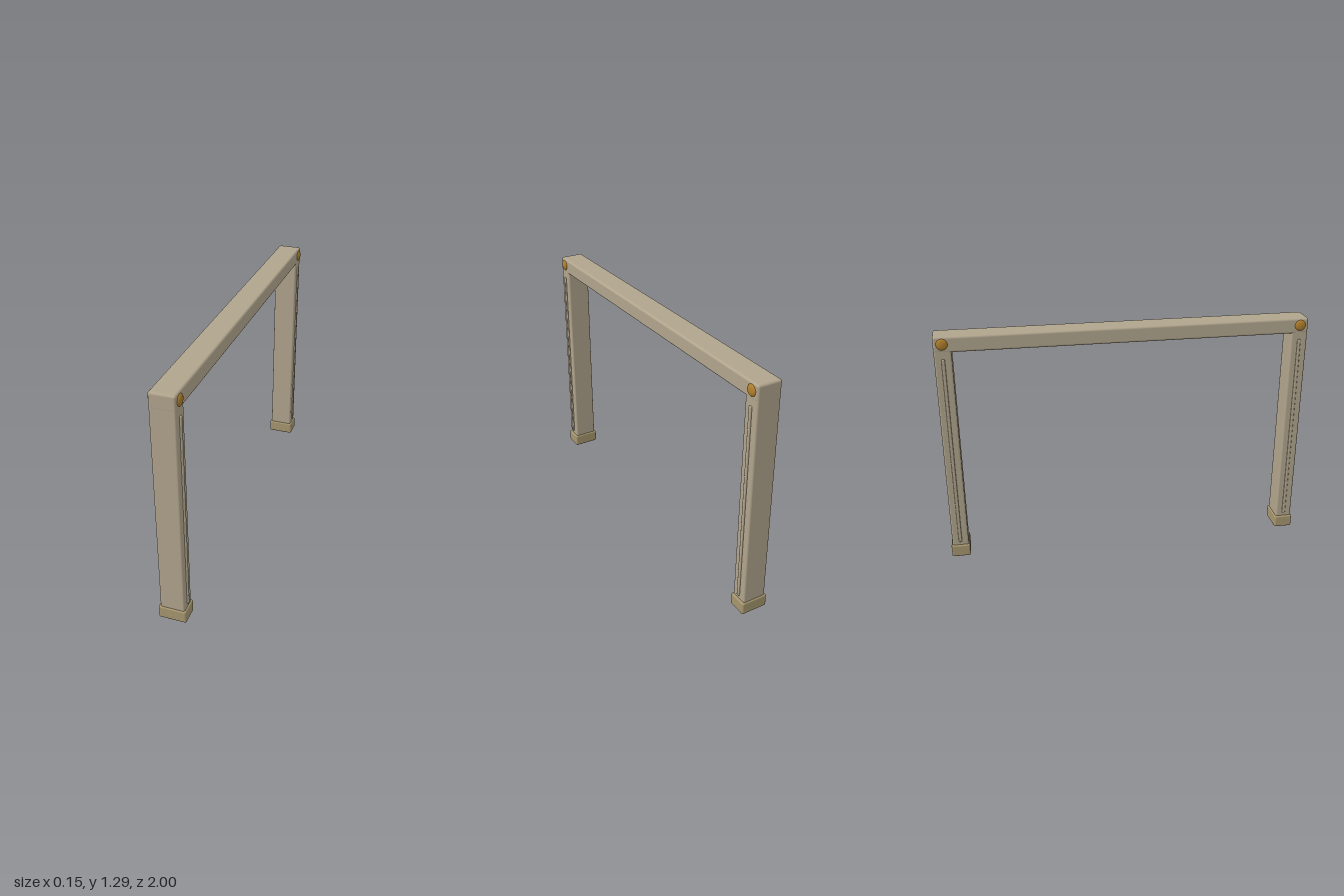
import * as THREE from 'three';
import { RoundedBoxGeometry } from 'three/addons/geometries/RoundedBoxGeometry.js';

const material = (color) => new THREE.MeshStandardMaterial({ color });

export function createModel() {
  const group = new THREE.Group();
  const frameMat = material(0xb0a48c);
  const footMat = material(0xa6966f);
  const boltMat = material(0xb07f2c);

  const add = (name, geometry, mat, x, y, z) => {
    const mesh = new THREE.Mesh(geometry, mat);
    mesh.name = name;
    mesh.position.set(x, y, z);
    group.add(mesh);
    return mesh;
  };
  const box = (w, h, d, r) => new RoundedBoxGeometry(w, h, d, 3, r);

  // Top crossbar running front to back
  add('crossbar', box(0.132, 0.084, 1.988, 0.012), frameMat, 0, 1.247, 0);

  // Shared parts of the two legs
  const legGeo = box(0.13, 1.2, 0.09, 0.01);
  const footGeo = box(0.148, 0.072, 0.103, 0.01);
  const stripGeo = box(0.02, 1.08, 0.018, 0.006);
  const boltGeo = new THREE.LatheGeometry(
    [[0, 0.014], [0.014, 0.013], [0.024, 0.010], [0.029, 0.005], [0.03, 0], [0.03, -0.012], [0, -0.012]]
      .reverse().map(([r, y]) => new THREE.Vector2(r, y)), 24);

  for (const end of [1, -1]) {
    const prefix = end > 0 ? 'front' : 'back';
    const z = end * 0.9485;
    add(prefix + 'Leg', legGeo, frameMat, 0, 0.63, z);
    add(prefix + 'Foot', footGeo, footMat, 0, 0.036, z);

    // Raised side strip and domed corner bolt on both sides
    for (const side of [1, -1]) {
      const label = prefix + (side > 0 ? 'Left' : 'Right');
      add(label + 'Strip', stripGeo, frameMat, side * 0.063, 0.632, z);
      const bolt = add(label + 'Bolt', boltGeo, boltMat, side * 0.063, 1.25, z);
      bolt.rotation.z = -side * Math.PI / 2;
    }
  }
  return group;
}
